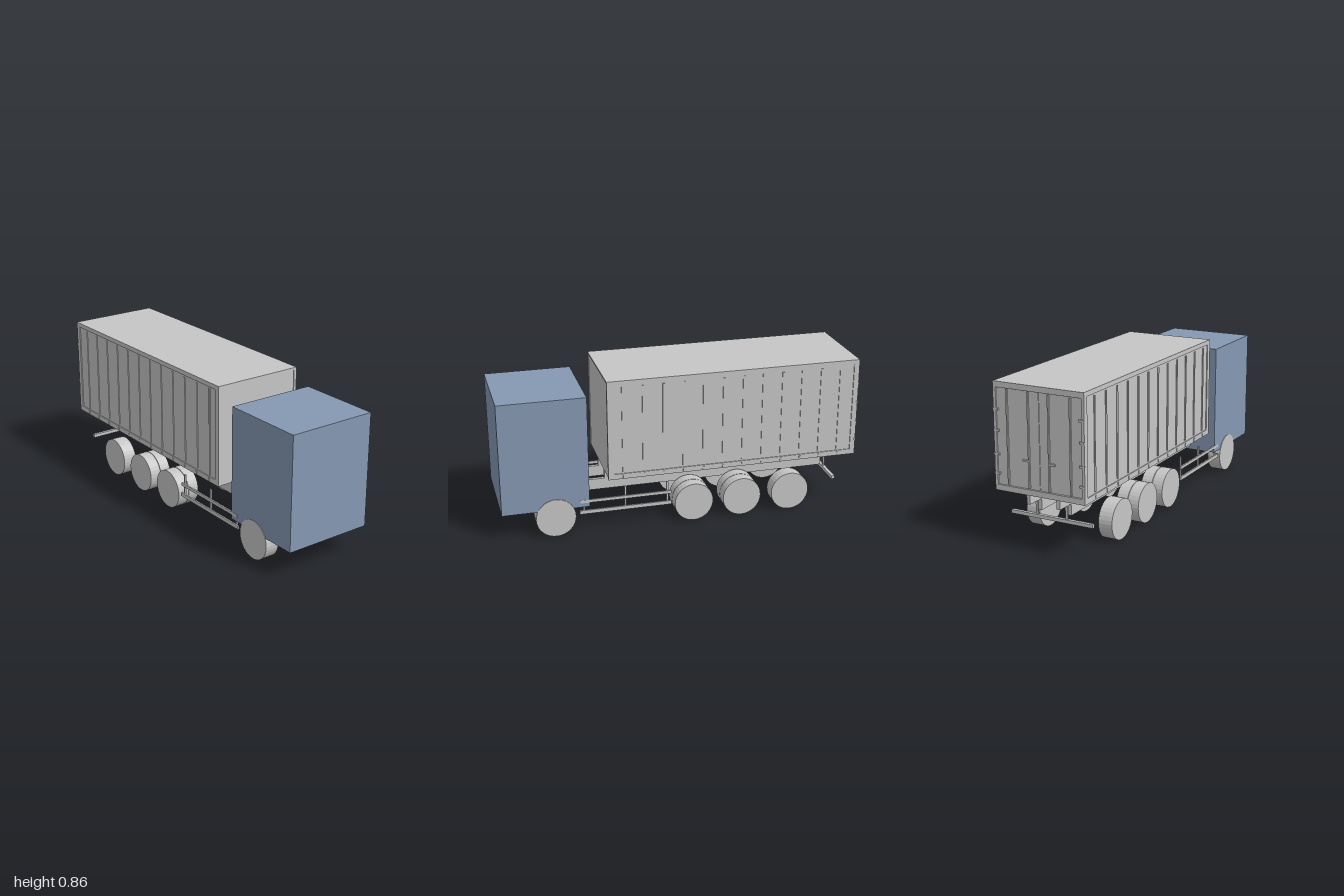
import * as THREE from 'three';

export function createModel() {
  const model = new THREE.Group();
  model.name = 'containerTruck';

  const mat = (name, color, extra = {}) => {
    const m = new THREE.MeshStandardMaterial({ color, ...extra });
    m.name = name;
    return m;
  };
  const grey = mat('lightGrey', 0xc6c6c6, { flatShading: true });
  const blue = mat('cabBlue', 0x8598b2);
  const brown = mat('floorBrown', 0x5f5040);

  // Box given by its limits on each axis
  const box = (parent, name, [x0, x1], [y0, y1], [z0, z1], material = grey) => {
    const mesh = new THREE.Mesh(new THREE.BoxGeometry(x1 - x0, y1 - y0, z1 - z0), material);
    mesh.position.set((x0 + x1) / 2, (y0 + y1) / 2, (z0 + z1) / 2);
    mesh.name = name;
    parent.add(mesh);
    return mesh;
  };
  // The same box on both sides of the model
  const pair = (parent, name, [x0, x1], y, z, material) => {
    box(parent, name + 'Left', [x0, x1], y, z, material);
    box(parent, name + 'Right', [-x1, -x0], y, z, material);
  };
  const group = (name) => {
    const g = new THREE.Group();
    g.name = name;
    model.add(g);
    return g;
  };

  // Cab
  box(model, 'cab', [-0.252, 0.252], [0.155, 0.783], [0.525, 1.0], blue);

  // Container: frame, recessed walls, roof and floor
  const container = group('container');
  const back = -0.997, front = 0.42, bottom = 0.30, top = 0.86;
  for (const [z0, z1, n] of [[front - 0.03, front, 'frontPost'], [back, back + 0.03, 'rearPost']])
    pair(container, n, [0.243, 0.259], [bottom, top], [z0, z1]);
  pair(container, 'bottomRail', [0.243, 0.259], [bottom, 0.33], [back + 0.03, front - 0.03]);
  pair(container, 'topRail', [0.243, 0.259], [0.835, top], [back + 0.03, front - 0.03]);
  pair(container, 'sideWall', [0.243, 0.254], [0.33, 0.835], [back + 0.03, front - 0.03]);
  box(container, 'roof', [-0.243, 0.243], [0.85, top], [back, front]);
  box(container, 'frontWall', [-0.243, 0.243], [bottom, 0.85], [front - 0.015, front - 0.004]);
  box(container, 'rearSill', [-0.243, 0.243], [bottom, 0.33], [back, back + 0.03]);
  box(container, 'rearHeader', [-0.243, 0.243], [0.83, 0.85], [back, back + 0.03]);
  box(container, 'floor', [-0.243, 0.243], [0.322, 0.332], [back + 0.03, front - 0.015], brown);

  // Wall ribs, tie hooks and floor beams at an even spacing
  for (let i = 0; i < 12; i++) {
    const z = 0.335 - i * 0.1115;
    pair(container, 'wallRib', [0.254, 0.258], [0.34, 0.825], [z - 0.006, z + 0.006]);
    pair(container, 'tieHook', [0.259, 0.262], [0.306, 0.322], [z - 0.005, z + 0.005]);
    box(container, 'floorBeam', [-0.243, 0.243], [0.302, 0.322], [z - 0.01, z + 0.01]);
  }

  // Rear doors with locking rods, handles and hinges
  const doors = group('rearDoors');
  pair(doors, 'door', [0.002, 0.243], [0.332, 0.828], [back + 0.006, back + 0.02]);
  box(doors, 'doorSeal', [-0.004, 0.004], [0.335, 0.825], [back + 0.002, back + 0.01]);
  for (const x of [0.058, 0.18])
    pair(doors, 'lockingRod', [x - 0.004, x + 0.004], [0.335, 0.825], [back - 0.002, back + 0.007]);
  pair(doors, 'handle', [0.054, 0.092], [0.472, 0.482], [-1.0, back + 0.007]);
  for (const y of [0.39, 0.49, 0.61, 0.72])
    pair(doors, 'hinge', [0.23, 0.26], [y - 0.006, y + 0.006], [-1.0, back + 0.007]);

  // Chassis rails, subframe and cross members
  const chassis = group('chassis');
  pair(chassis, 'mainRail', [0.077, 0.097], [0.178, 0.24], [-0.86, 0.53]);
  pair(chassis, 'subframeRail', [0.077, 0.097], [0.24, 0.302], [-0.965, 0.41]);

  // Rear bumper bar on two posts
  const bumper = group('rearBumper');
  box(bumper, 'bumperBar', [-0.24, 0.24], [0.146, 0.165], [-0.895, -0.876]);
  pair(bumper, 'bumperPost', [0.08, 0.094], [0.165, 0.24], [-0.89, -0.881]);

  // Side guards
  const guards = group('sideGuards');
  pair(guards, 'upperGuardBar', [0.244, 0.253], [0.178, 0.195], [0.07, 0.575]);
  pair(guards, 'lowerGuardBar', [0.244, 0.253], [0.113, 0.134], [0.07, 0.58]);
  for (const [z, y] of [[0.325, 0.247], [0.09, 0.247], [0.555, 0.18]])
    pair(guards, 'guardPost', [0.236, 0.245], [0.113, y], [z - 0.005, z + 0.005]);

  // Wheels: single front and last axles, twin wheels on the middle two
  const wheels = group('wheels');
  const wheel = (name, x0, x1, z) => {
    const geo = new THREE.CylinderGeometry(0.109, 0.109, x1 - x0, 32).rotateZ(Math.PI / 2);
    for (const s of [1, -1]) {
      const mesh = new THREE.Mesh(geo, grey);
      mesh.position.set(s * (x0 + x1) / 2, 0.109, z);
      mesh.name = name + (s > 0 ? 'Left' : 'Right');
      wheels.add(mesh);
    }
  };
  wheel('frontWheel', 0.176, 0.255, 0.71);
  for (const z of [-0.06, -0.337]) {
    wheel('innerRearWheel', 0.123, 0.187, z);
    wheel('outerRearWheel', 0.19, 0.255, z);
  }
  wheel('lastWheel', 0.176, 0.255, -0.62);

  return model;
}
